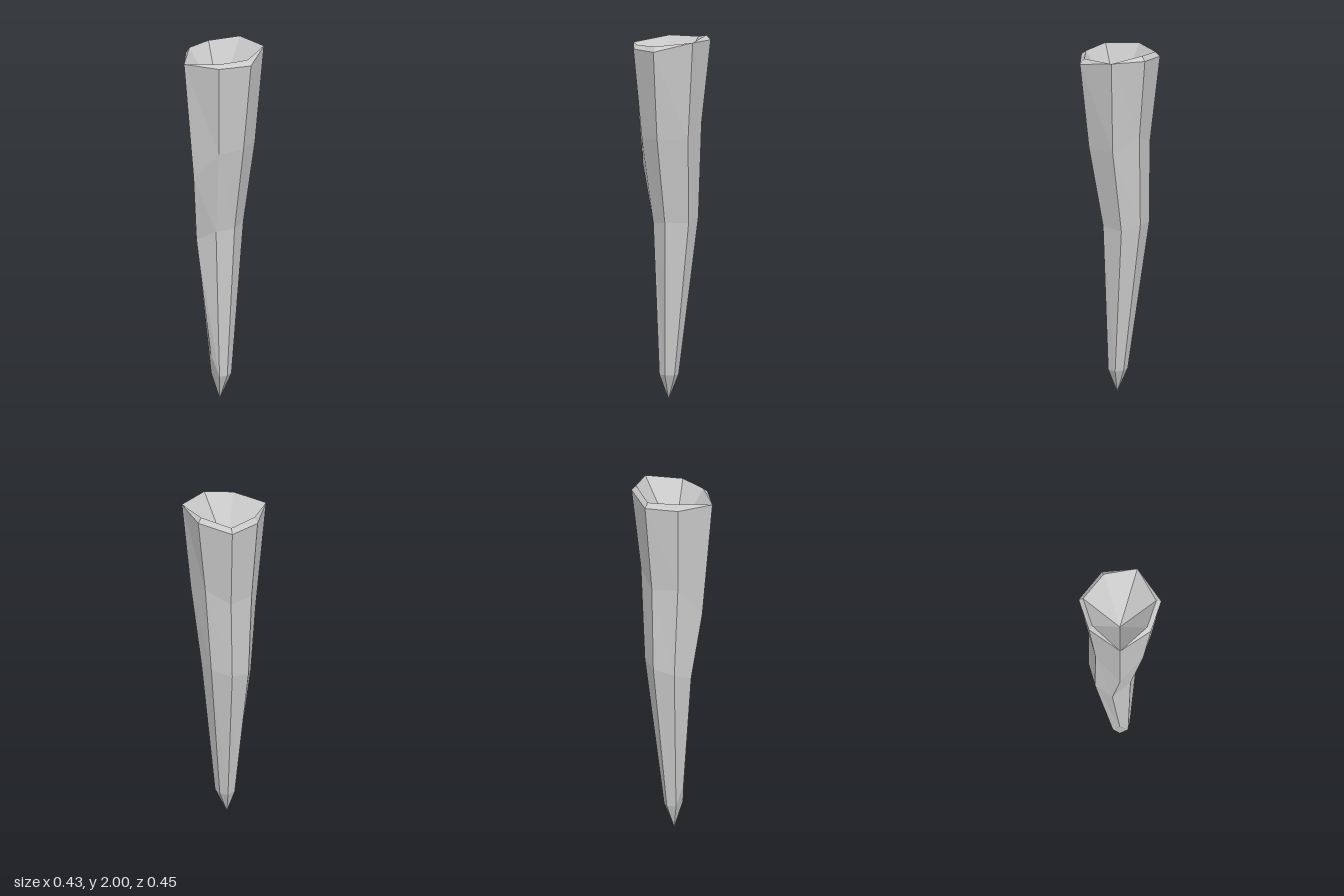
import * as THREE from 'three';

// Seven long edges of the spike, each as [x, y, z] from just above the point to the rim
const edges = [
  [[-0.025, 0.14, -0.055], [-0.075, 1.0, -0.15], [-0.055, 1.52, -0.176], [-0.06, 1.975, -0.227]],
  [[0.025, 0.14, -0.05], [0.034, 0.98, -0.135], [0.1, 1.45, -0.157], [0.13, 1.985, -0.195]],
  [[0.04, 0.14, 0], [0.08, 0.98, -0.015], [0.16, 1.45, 0], [0.215, 1.935, 0]],
  [[0.02, 0.14, 0.04], [0.025, 0.97, 0.073], [0.085, 1.43, 0.115], [0.12, 1.93, 0.152]],
  [[-0.03, 0.26, 0.055], [-0.085, 0.91, 0.11], [-0.055, 1.28, 0.165], [-0.07, 1.935, 0.225]],
  [[-0.06, 0.14, 0.02], [-0.163, 0.95, 0.035], [-0.165, 1.45, 0.055], [-0.205, 1.935, 0.065]],
  [[-0.065, 0.14, -0.03], [-0.17, 0.98, -0.08], [-0.17, 1.45, -0.088], [-0.217, 1.94, -0.115]],
];

// Raised inner lip; it meets the outer rim at two corners
const lip = [
  [-0.055, 2.0, -0.203], [0.13, 1.985, -0.195], [0.187, 1.962, 0], [0.103, 1.95, 0.133],
  [-0.07, 1.935, 0.225], [-0.185, 1.967, 0.058], [-0.195, 1.967, -0.105],
];

const tip = [-0.016, 0, 0];
const pit = [-0.016, 1.68, 0];

// Skins neighbouring rings with faceted quads, dropping collapsed triangles
function skin(name, rings) {
  const positions = [];
  const same = (a, b) => a.every((v, k) => v === b[k]);
  const tri = (a, b, c) => {
    if (!same(a, b) && !same(b, c) && !same(a, c)) positions.push(...a, ...b, ...c);
  };
  for (let r = 0; r < rings.length - 1; r++) {
    const low = rings[r], high = rings[r + 1];
    for (let i = 0; i < low.length; i++) {
      const j = (i + 1) % low.length;
      tri(low[i], high[i], high[j]);
      tri(low[i], high[j], low[j]);
    }
  }
  const geometry = new THREE.BufferGeometry();
  geometry.setAttribute('position', new THREE.Float32BufferAttribute(positions, 3));
  geometry.computeVertexNormals();
  const mesh = new THREE.Mesh(
    geometry,
    new THREE.MeshStandardMaterial({ color: 0xcccccc, flatShading: true }),
  );
  mesh.name = name;
  return mesh;
}

export function createModel() {
  const group = new THREE.Group();
  group.name = 'spike';
  const point = (p) => edges.map(() => p);
  const ring = (level) => edges.map((edge) => edge[level]);

  // Tapering outer shaft, from the point up to the rim
  group.add(skin('shaft', [point(tip), ring(0), ring(1), ring(2), ring(3)]));
  // Bevelled rim around the opening
  group.add(skin('rim', [ring(3), lip]));
  // Conical hollow in the top
  group.add(skin('hollow', [lip, point(pit)]));
  return group;
}
